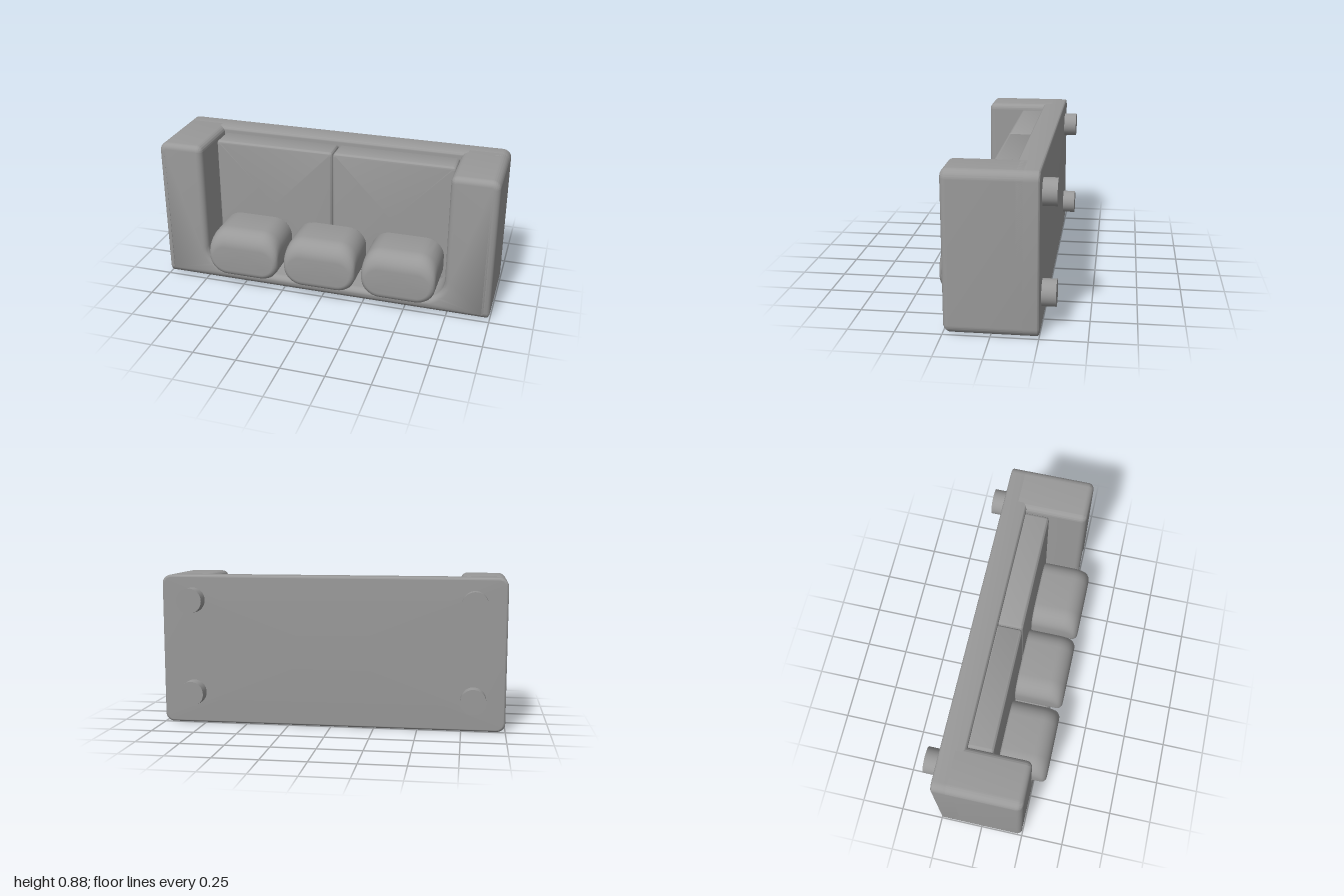
import * as THREE from 'three';
import { toCreasedNormals } from 'three/addons/utils/BufferGeometryUtils.js';

const fabric = new THREE.MeshStandardMaterial({ color: 0x999999 });
fabric.name = 'grey fabric';

// how far a fillet of radius r pulls a side in at depth d below the face
const inset = (r, d) => (d >= r ? 0 : r - Math.sqrt(r * r - (r - d) ** 2));

// counter-clockwise rounded rectangle
function ring(x0, x1, y0, y1, radius, z, out) {
  const r = Math.min(radius, (x1 - x0) / 2.01, (y1 - y0) / 2.01);
  const corners = [[x1 - r, y0 + r], [x1 - r, y1 - r], [x0 + r, y1 - r], [x0 + r, y0 + r]];
  corners.forEach(([cx, cy], q) => {
    for (let i = 0; i <= 8; i++) {
      const a = (q - 1 + i / 8) * Math.PI / 2;
      out.push(cx + r * Math.cos(a), cy + r * Math.sin(a), z);
    }
  });
}

// padded block lofted along z, with its own fillets at the back and on each front edge
function paddedBlock([x0, x1], [y0, y1], [z0, z1], r, back, { top, bottom, side }) {
  const pos = [], index = [], steps = 8, count = 36;
  const deepest = Math.max(top, bottom, side);
  const cap = z => { for (let i = 0; i < count; i++) pos.push((x0 + x1) / 2, (y0 + y1) / 2, z); };
  cap(z0);
  for (let i = 0; i <= steps; i++) {
    const d = back * (1 - Math.cos(i / steps * Math.PI / 2)), k = inset(back, d);
    ring(x0 + k, x1 - k, y0 + k, y1 - k, r - k * 0.5, z0 + d, pos);
  }
  for (let i = steps; i >= 0; i--) {
    const d = deepest * (1 - Math.cos(i / steps * Math.PI / 2)), k = inset(side, d);
    ring(x0 + k, x1 - k, y0 + inset(bottom, d), y1 - inset(top, d), r - k * 0.5, z1 - d, pos);
  }
  cap(z1);
  const rings = pos.length / 3 / count;
  for (let i = 0; i < rings - 1; i++) {
    for (let j = 0; j < count; j++) {
      const a = i * count + j, b = i * count + (j + 1) % count;
      if (i > 0) index.push(a, b, b + count);
      if (i < rings - 2) index.push(a, b + count, a + count);
      else index.push(a, b, a + count);
      if (i === 0) index.push(a, b + count, a + count);
    }
  }
  const geo = new THREE.BufferGeometry();
  geo.setAttribute('position', new THREE.Float32BufferAttribute(pos, 3));
  geo.setIndex(index);
  return toCreasedNormals(geo, 0.6);
}

// U-shaped frame: two arms joined by the backrest
function frameGeometry() {
  const H = 0.875, R = 0.05, IN = 0.73, FLOOR = 0.09, C = 0.13, T = 0.037, bevel = 0.035;
  const s = new THREE.Shape();
  s.moveTo(-1 + R, 0);
  s.lineTo(1 - R, 0);
  s.absarc(1 - R, R, R, -Math.PI / 2, 0, false);
  s.lineTo(1, H - R);
  s.absarc(1 - R, H - R, R, 0, Math.PI / 2, false);
  s.lineTo(IN + T, H);
  s.absarc(IN + T, H - T, T, Math.PI / 2, Math.PI, false);
  s.lineTo(IN, FLOOR + C);
  s.absarc(IN - C, FLOOR + C, C, 0, -Math.PI / 2, true);
  s.lineTo(-IN + C, FLOOR);
  s.absarc(-IN + C, FLOOR + C, C, -Math.PI / 2, -Math.PI, true);
  s.lineTo(-IN, H - T);
  s.absarc(-IN - T, H - T, T, 0, Math.PI / 2, false);
  s.lineTo(-1 + R, H);
  s.absarc(-1 + R, H - R, R, Math.PI / 2, Math.PI, false);
  s.lineTo(-1, R);
  s.absarc(-1 + R, R, R, Math.PI, Math.PI * 1.5, false);
  const geo = new THREE.ExtrudeGeometry(s, {
    depth: 0.45 - 2 * bevel, bevelEnabled: true, bevelThickness: bevel,
    bevelSize: bevel, bevelOffset: -bevel, bevelSegments: 6, curveSegments: 10,
  });
  geo.translate(0, 0, -0.2 + bevel);
  // rounder front edge along the bottom
  const p = geo.attributes.position, big = 0.07;
  for (let i = 0; i < p.count; i++) {
    const y = Math.max(0, p.getY(i));
    if (y < big) p.setZ(i, Math.min(p.getZ(i), 0.25 - inset(big, y)));
  }
  return toCreasedNormals(geo, 0.6);
}

export function createModel() {
  const model = new THREE.Group();
  model.name = 'sofa';
  const add = (name, geo) => {
    const mesh = new THREE.Mesh(geo, fabric);
    mesh.name = name;
    model.add(mesh);
    return mesh;
  };

  add('armsAndBackrest', frameGeometry());
  add('seatBase', paddedBlock([-1, 1], [0, 0.875], [-0.25, -0.11], 0.05, 0.013,
    { top: 0.02, bottom: 0.02, side: 0.02 }));

  // two seat cushions
  for (const x of [-0.364, 0.364]) {
    add('seatCushion', paddedBlock([x - 0.362, x + 0.362], [0.085, 0.84], [-0.115, 0.032], 0.018, 0.01,
      { top: 0.018, bottom: 0.018, side: 0.018 }));
  }

  // three back pillows
  for (const x of [-0.472, 0, 0.472]) {
    add('backPillow', paddedBlock([x - 0.217, x + 0.217], [0.09, 0.382], [0.03, 0.327], 0.11, 0.015,
      { top: 0.1, bottom: 0.04, side: 0.03 }));
  }

  // four round feet
  for (const x of [-0.817, 0.817]) {
    for (const y of [0.184, 0.73]) {
      const geo = new THREE.CylinderGeometry(0.073, 0.073, 0.095, 32);
      geo.rotateX(Math.PI / 2);
      add('foot', geo).position.set(x, y, -0.2795);
    }
  }
  return model;
}
